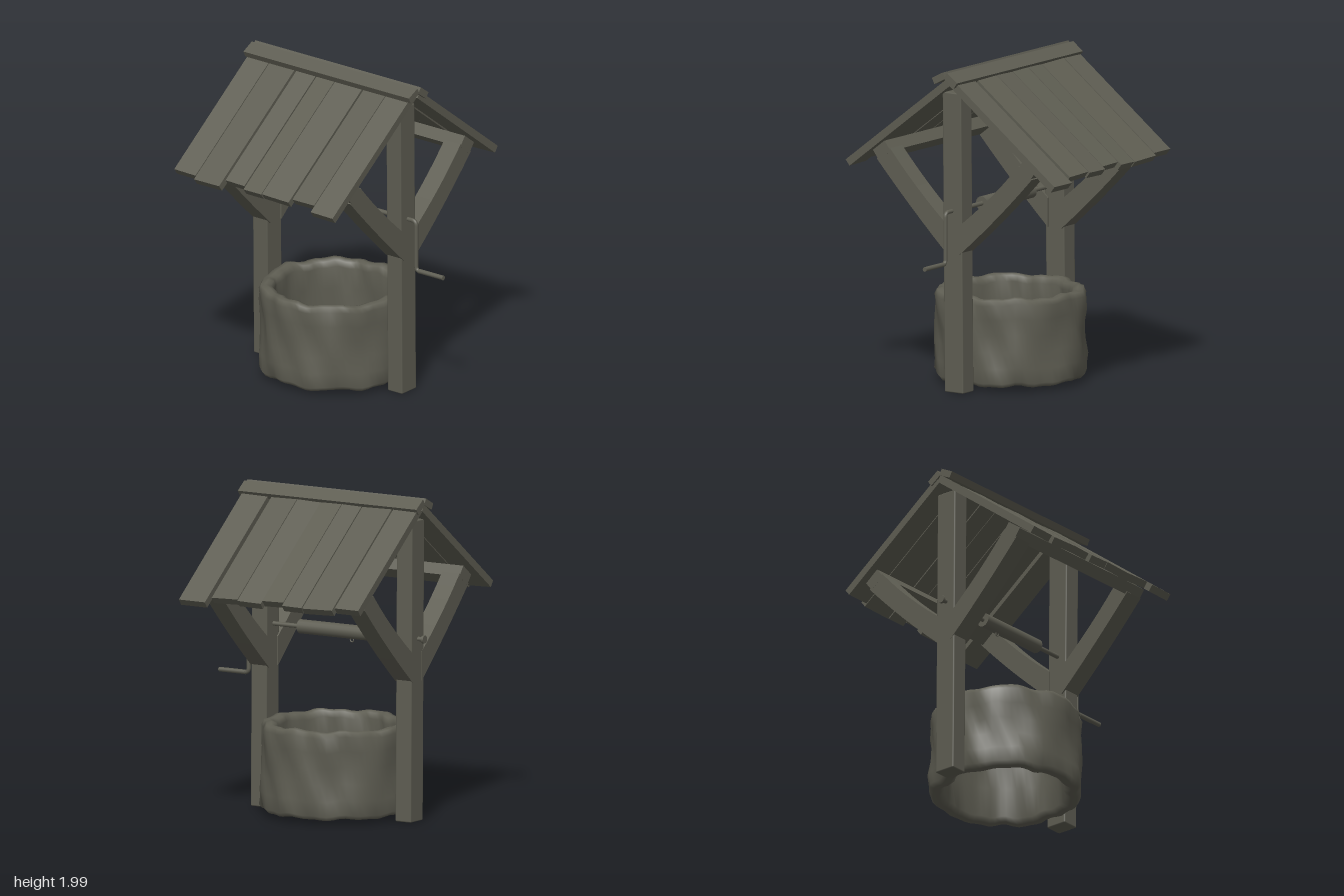
import * as THREE from 'three';
import { mergeVertices } from 'three/addons/utils/BufferGeometryUtils.js';
import { RoundedBoxGeometry } from 'three/addons/geometries/RoundedBoxGeometry.js';

const SLOPE = 0.65; // roof pitch in radians

export function createModel() {
  const model = new THREE.Group();
  const mat = new THREE.MeshStandardMaterial({ color: 0x5e5d52 });
  mat.name = 'weathered grey';

  const add = (name, geometry, x = 0, y = 0, z = 0, parent = model) => {
    const mesh = new THREE.Mesh(geometry, mat);
    mesh.name = name;
    mesh.position.set(x, y, z);
    parent.add(mesh);
    return mesh;
  };

  // Stone ring: closed wall profile, turned and roughened
  const profile = [
    [0.37, 0.06], [0.40, 0.035], [0.44, 0.035], [0.462, 0.06], [0.462, 0.15], [0.455, 0.25],
    [0.452, 0.35], [0.456, 0.45], [0.458, 0.54], [0.442, 0.57], [0.41, 0.575], [0.38, 0.565],
    [0.365, 0.53], [0.365, 0.4], [0.368, 0.25], [0.37, 0.06],
  ].map(p => new THREE.Vector2(...p));
  let ring = new THREE.LatheGeometry(profile, 72);
  const pos = ring.attributes.position;
  for (let i = 0; i < pos.count; i++) {
    const x = pos.getX(i), y = pos.getY(i), z = pos.getZ(i);
    const a = Math.atan2(z, x), r = Math.hypot(x, z);
    const rough = 0.007 * Math.sin(7 * a + 9 * y) + 0.006 * Math.sin(12 * a - 14 * y + 1)
      + 0.004 * Math.sin(19 * a + 25 * y);
    const k = (r + rough) / r;
    const lift = 0.006 * Math.sin(8 * a + 1) + 0.004 * Math.sin(17 * a);
    pos.setXYZ(i, x * k, y + lift, z * k);
  }
  ring.deleteAttribute('uv');
  ring.deleteAttribute('normal');
  ring = mergeVertices(ring, 1e-4);
  ring.computeVertexNormals();
  add('stoneWall', ring, -0.005, 0, -0.11);

  // Posts, leaning very slightly
  for (const [name, z] of [['frontPost', 0.413], ['backPost', -0.632]]) {
    add(name, new RoundedBoxGeometry(0.14, 1.855, 0.113, 1, 0.008), -0.016, 0.932, z).rotation.z = 0.009;
  }

  // Curved braces from each post to the purlins
  const brace = (side, z) => {
    const s = new THREE.Shape();
    const inner = side < 0 ? 0.06 : 0.04;
    s.moveTo(side * inner, 0.865);
    s.quadraticCurveTo(side * 0.33, 1.115, side * 0.585, 1.39);
    s.lineTo(side * 0.485, 1.465);
    s.quadraticCurveTo(side * 0.3, 1.25, side * inner, 1.045);
    s.closePath();
    const g = new THREE.ExtrudeGeometry(s, { depth: 0.126, bevelEnabled: false, curveSegments: 6 });
    add(side < 0 ? 'rightBrace' : 'leftBrace', g, 0, 0, z - 0.063);
  };

  // Roof planks: [back z, front z, eave x, roll]
  const planks = {
    '-1': [[-0.74, -0.575, 0.775, 0.02], [-0.57, -0.37, 0.797, -0.03], [-0.355, -0.21, 0.757, 0.03],
      [-0.2, -0.06, 0.777, -0.02], [-0.055, 0.15, 0.777, 0.03], [0.165, 0.337, 0.757, -0.03],
      [0.34, 0.51, 0.797, 0.02]],
    '1': [[-0.735, -0.568, 0.737, -0.02], [-0.56, -0.345, 0.757, 0.03], [-0.338, -0.2, 0.757, -0.03],
      [-0.196, -0.045, 0.737, 0.02], [-0.043, 0.122, 0.757, -0.04], [0.126, 0.312, 0.75, 0.03],
      [0.34, 0.525, 0.787, -0.02]],
  };
  const thick = 0.046;
  for (const side of [-1, 1]) {
    for (const z of [0.411, -0.627]) brace(side, z);

    add(side < 0 ? 'rightPurlin' : 'leftPurlin', new THREE.BoxGeometry(0.11, 0.075, 1.165),
      side * 0.547, 1.444, -0.108).rotation.z = -side * SLOPE;

    for (const [z0, z1, eave, roll] of planks[side]) {
      const start = 0.02;
      const length = (eave - start) / Math.cos(SLOPE);
      const mid = (start + eave) / 2;
      const plank = add('roofPlank', new THREE.BoxGeometry(length, thick, z1 - z0),
        side * (mid - thick / 2 * Math.sin(SLOPE)),
        1.973 - Math.tan(SLOPE) * mid - thick / 2 * Math.cos(SLOPE), (z0 + z1) / 2);
      plank.rotation.set(roll, side * 0.012, -side * SLOPE, 'ZYX');
    }

    // Ridge boards
    const ridge = add('ridgeBoard', new THREE.BoxGeometry(0.092, 0.042, 1.29),
      side < 0 ? -0.062 : 0.028, side < 0 ? 1.957 : 1.951, -0.094);
    ridge.rotation.z = side < 0 ? 0.47 : -0.62;
  }

  // Winch: axle, drum, end knob, rope ring and crank
  const winch = new THREE.Group();
  winch.name = 'winch';
  winch.position.set(-0.022, 1.128, 0);
  model.add(winch);
  const rod = (name, r, z0, z1, sides) => {
    const g = new THREE.CylinderGeometry(r, r, Math.abs(z1 - z0), sides).rotateX(Math.PI / 2);
    add(name, g, 0, 0, (z0 + z1) / 2, winch);
  };
  rod('axle', 0.014, -0.73, 0.42, 12);
  rod('drum', 0.044, -0.342, 0.163, 16);
  rod('axleKnob', 0.025, -0.737, -0.722, 12);
  add('ropeRing', new THREE.TorusGeometry(0.012, 0.004, 6, 14).rotateY(Math.PI / 2), 0, -0.05, -0.21, winch);

  const v = (y, z) => new THREE.Vector3(0, y, z);
  const path = new THREE.CurvePath();
  path.add(new THREE.LineCurve3(v(0, 0.4), v(0, 0.505)));
  path.add(new THREE.QuadraticBezierCurve3(v(0, 0.505), v(0, 0.535), v(-0.03, 0.535)));
  path.add(new THREE.LineCurve3(v(-0.03, 0.535), v(-0.29, 0.535)));
  path.add(new THREE.QuadraticBezierCurve3(v(-0.29, 0.535), v(-0.318, 0.535), v(-0.318, 0.56)));
  path.add(new THREE.LineCurve3(v(-0.318, 0.56), v(-0.318, 0.74)));
  add('crank', new THREE.TubeGeometry(path, 80, 0.013, 10, false), 0, 0, 0, winch);
  const grip = new THREE.CylinderGeometry(0.0145, 0.0145, 0.19, 12).rotateX(Math.PI / 2);
  add('crankGrip', grip, 0, -0.318, 0.652, winch);

  return model;
}
